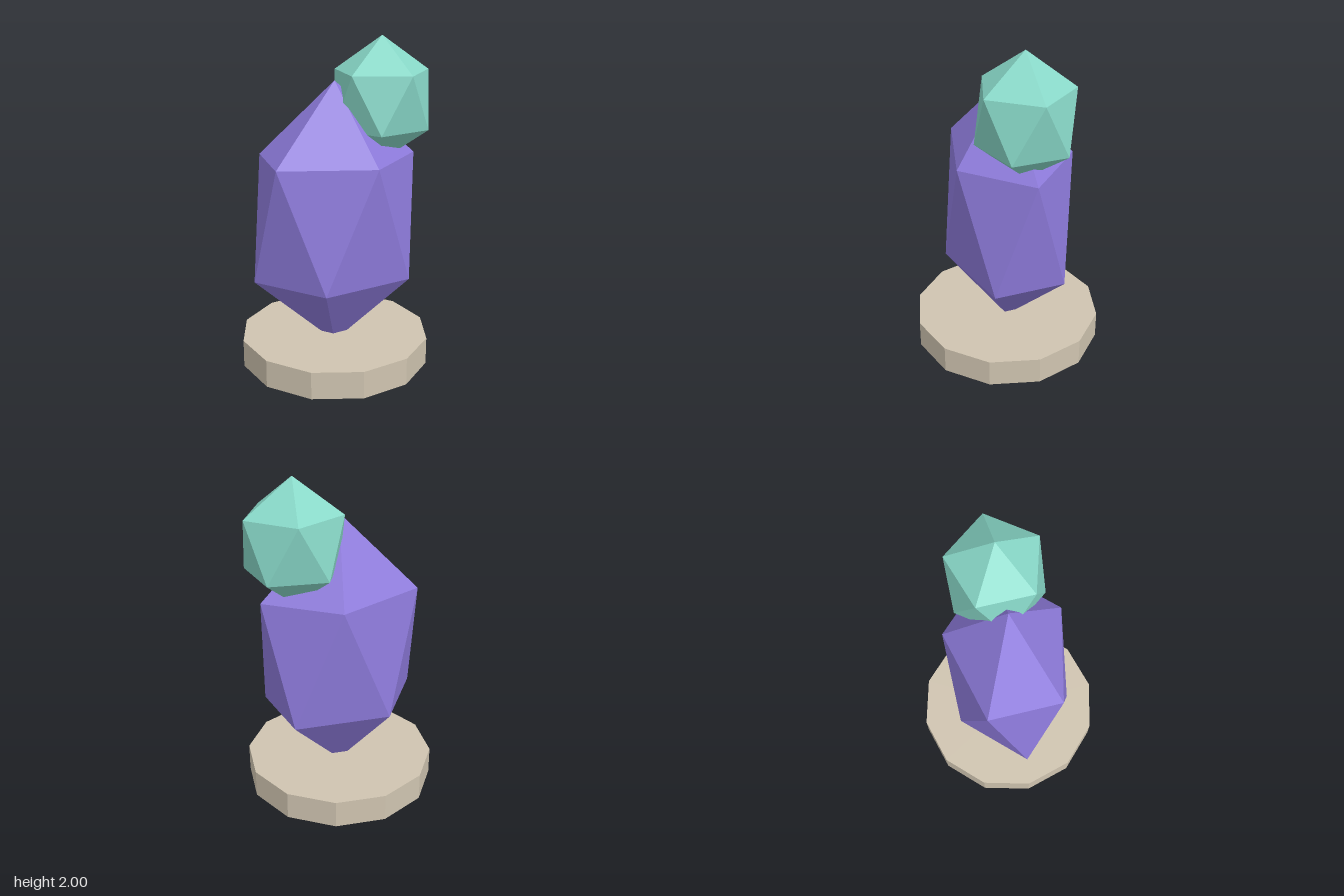
import * as THREE from 'three';

const mat = (name, color) => {
  const m = new THREE.MeshStandardMaterial({ color });
  m.name = name;
  return m;
};

// Icosahedron standing on a vertex: two poles and two staggered pentagon rings
function crystalGeometry(rx, ry, rz) {
  const v = [0, ry, 0];
  const ringY = ry / Math.sqrt(5);
  for (let ring = 0; ring < 2; ring++) {
    for (let i = 0; i < 5; i++) {
      const a = (i + ring * 0.5) * Math.PI * 0.4;
      v.push(rx * Math.cos(a), ring ? -ringY : ringY, rz * Math.sin(a));
    }
  }
  v.push(0, -ry, 0);

  const faces = [];
  for (let i = 0; i < 5; i++) {
    const j = (i + 1) % 5;
    const u0 = 1 + i, u1 = 1 + j, l0 = 6 + i, l1 = 6 + j;
    faces.push(0, u1, u0, u0, u1, l0, u1, l1, l0, 11, l0, l1);
  }
  const g = new THREE.BufferGeometry();
  g.setAttribute('position', new THREE.Float32BufferAttribute(v, 3));
  g.setIndex(faces);
  const flat = g.toNonIndexed(); // separate corners give flat facets
  flat.computeVertexNormals();
  return flat;
}

export function createModel() {
  const group = new THREE.Group();
  group.name = 'crystalOnBase';
  const add = (name, geometry, material, x, y) => {
    const mesh = new THREE.Mesh(geometry, material);
    mesh.name = name;
    mesh.position.set(x, y, 0);
    group.add(mesh);
  };

  // Twelve-sided stone base
  const base = new THREE.CylinderGeometry(0.585, 0.585, 0.17, 12).toNonIndexed();
  base.computeVertexNormals();
  add('base', base, mat('sandStone', 0xcfc4b0), 0, 0.085);

  // Tall crystal, its lower tip sunk into the base
  add('largeCrystal', crystalGeometry(0.505, 0.83, 0.373), mat('violet', 0x8e7bdc), 0, 0.92);

  // Small crystal on the upper left shoulder
  add('smallCrystal', crystalGeometry(0.295, 0.376, 0.279), mat('mint', 0x88d8c8), 0.29, 1.625);

  return group;
}
